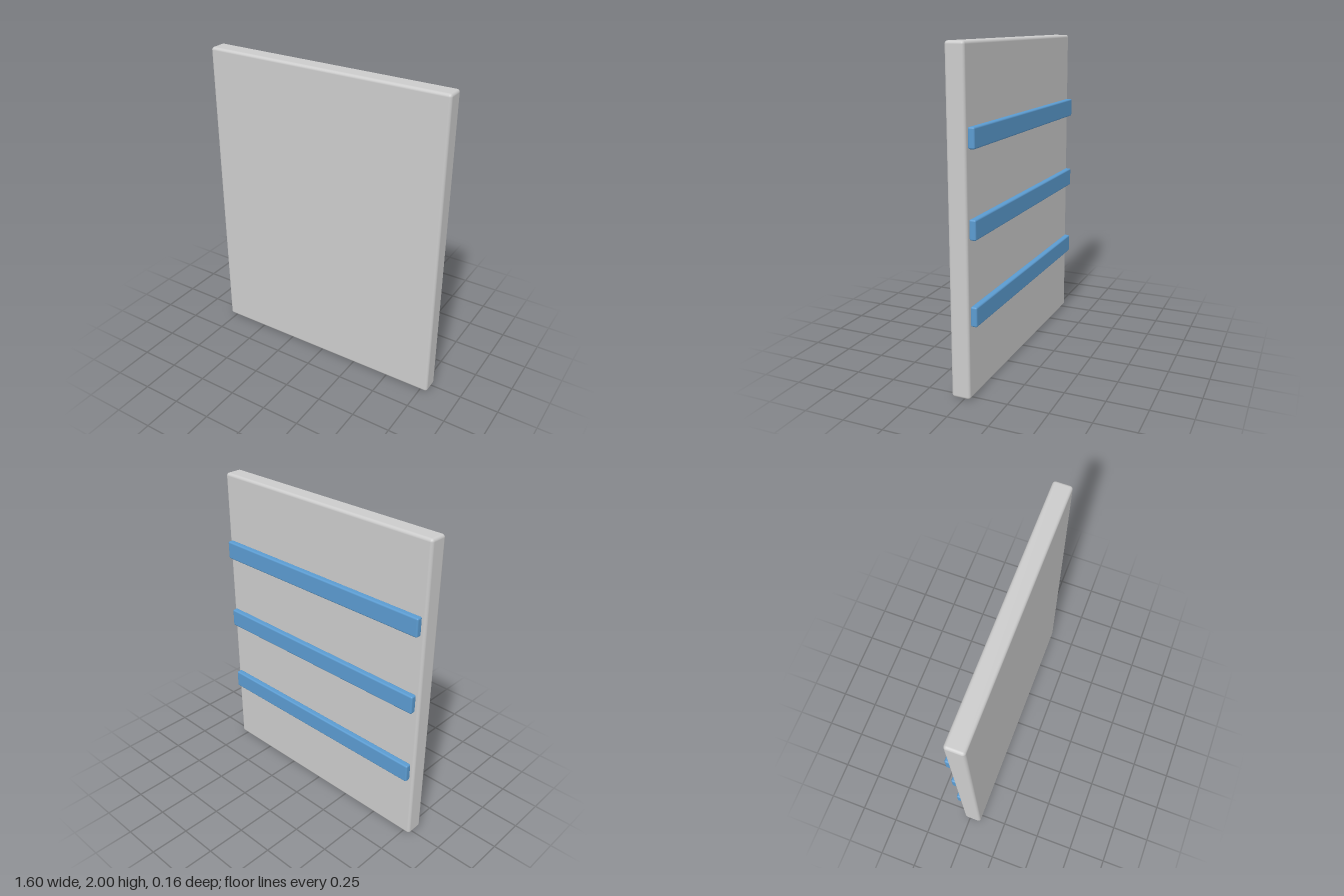
import * as THREE from 'three';
import { RoundedBoxGeometry } from 'three/addons/geometries/RoundedBoxGeometry.js';

const grey = new THREE.MeshStandardMaterial({ color: 0xcccccc });
const blue = new THREE.MeshStandardMaterial({ color: 0x5b9bd0 });

// Softly rounded board spanning zBack..zFront, centred on x = 0
function board(name, width, height, y, zBack, zFront, radius, material) {
  const geometry = new RoundedBoxGeometry(width, height, zFront - zBack, 4, radius);
  const mesh = new THREE.Mesh(geometry, material);
  mesh.name = name;
  mesh.position.set(0, y, (zBack + zFront) / 2);
  return mesh;
}

export function createModel() {
  const group = new THREE.Group();
  group.name = 'battenedPanel';

  // Main panel
  group.add(board('panel', 1.597, 2, 1, -0.038, 0.078, 0.018, grey));

  // Three horizontal battens across the back
  [0.5, 1, 1.5].forEach((y, i) => {
    group.add(board(`backBatten${i + 1}`, 1.547, 0.118, y, -0.078, -0.038, 0.01, blue));
  });

  return group;
}
